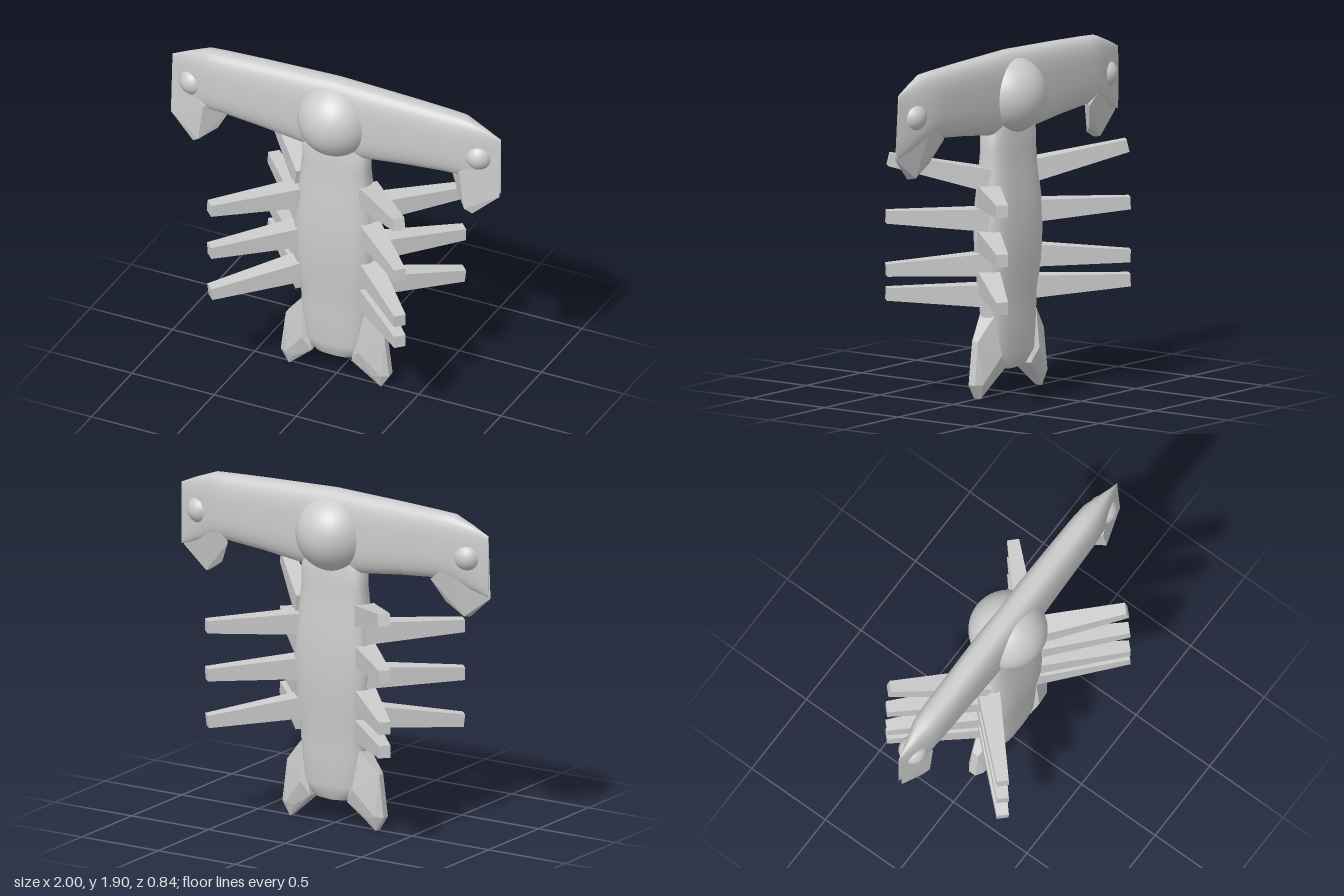
import * as THREE from 'three';
import { ConvexGeometry } from 'three/addons/geometries/ConvexGeometry.js';

const smooth = new THREE.MeshStandardMaterial({ color: 0xcccccc });
const faceted = new THREE.MeshStandardMaterial({ color: 0xcccccc, flatShading: true });

function add(parent, name, geometry, material) {
  const mesh = new THREE.Mesh(geometry, material);
  mesh.name = name;
  parent.add(mesh);
  return mesh;
}

// Loft of rounded-box sections; place(t, u, v) puts the axis and section coordinates in space.
// Each section is [t, centre u, half u, half v].
function loft(sections, place, power = 2.8, sides = 32) {
  const positions = [], index = [];
  const round = (c) => Math.sign(c) * Math.abs(c) ** (2 / power);
  for (const [t, cu, hu, hv] of sections) {
    for (let j = 0; j < sides; j++) {
      const a = (j / sides) * Math.PI * 2;
      positions.push(...place(t, cu + hu * round(Math.cos(a)), hv * round(Math.sin(a))));
    }
  }
  const last = sections.length - 1;
  const start = sections.length * sides, end = start + 1;
  for (const k of [0, last]) positions.push(...place(sections[k][0], sections[k][1], 0));
  for (let j = 0; j < sides; j++) {
    const n = (j + 1) % sides;
    for (let i = 0; i < last; i++) {
      const a = i * sides + j, b = i * sides + n;
      index.push(a, b, a + sides, b, b + sides, a + sides);
    }
    index.push(start, n, j, end, last * sides + j, last * sides + n);
  }
  const geometry = new THREE.BufferGeometry();
  geometry.setAttribute('position', new THREE.Float32BufferAttribute(positions, 3));
  geometry.setIndex(index);
  geometry.computeVertexNormals();
  return geometry;
}

// Convex block from corner points, side = 1 or -1 mirrors it in x
const hull = (points, side) =>
  new ConvexGeometry(points.map(([x, y, z]) => new THREE.Vector3(x * side, y, z)));

// Box along +x that narrows to its tip
function legGeometry(length) {
  const geometry = new THREE.BoxGeometry(length, 0.125, 0.125).translate(length / 2, 0, 0);
  const p = geometry.attributes.position;
  for (let i = 0; i < p.count; i++) {
    if (p.getX(i) > 0.01) p.setXYZ(i, p.getX(i), p.getY(i) * 0.56, p.getZ(i) * 0.53);
  }
  geometry.computeVertexNormals();
  return geometry;
}

export function createModel() {
  const model = new THREE.Group();
  model.name = 'hammerheadCreature';

  // Flat upright body: [y, half depth, half width]
  const bodySections = [
    [0.135, 0.03, 0.03], [0.15, 0.06, 0.12], [0.23, 0.085, 0.19], [0.42, 0.09, 0.2],
    [0.56, 0.094, 0.207], [0.72, 0.113, 0.232], [0.9, 0.117, 0.242], [1.08, 0.113, 0.232],
    [1.24, 0.096, 0.212], [1.36, 0.09, 0.2], [1.6, 0.085, 0.2],
  ].map(([y, depth, width]) => [y, 0, depth, width]);
  add(model, 'body', loft(bodySections, (y, z, x) => [x, y, z]), smooth);

  // Wide hammer head: [x, top, bottom, half depth]
  const half = [
    [0, 1.9, 1.43, 0.09], [0.2, 1.893, 1.45, 0.09], [0.45, 1.885, 1.48, 0.085],
    [0.68, 1.875, 1.5, 0.08], [0.78, 1.87, 1.5, 0.072], [0.9, 1.825, 1.46, 0.037],
    [1, 1.78, 1.43, 0.003],
  ];
  const headSections = [...half.slice(1).reverse().map(([x, ...rest]) => [-x, ...rest]), ...half]
    .map(([x, top, bottom, depth]) => [x, (top + bottom) / 2, (top - bottom) / 2, depth]);
  add(model, 'head', loft(headSections, (x, y, z) => [x, y, z]), smooth);

  // Large central eye and a small one at each end of the head
  add(model, 'centralEye', new THREE.SphereGeometry(0.217, 40, 28), smooth).position.y = 1.65;

  for (const side of [1, -1]) {
    const prefix = side > 0 ? 'left' : 'right';
    add(model, prefix + 'Eye', new THREE.SphereGeometry(0.08, 28, 20), smooth)
      .position.set(0.87 * side, 1.645, 0);

    // Hanging jaw below the end of the head
    add(model, prefix + 'Jaw', hull([
      [0.78, 1.54, 0.068], [0.81, 1.32, 0.07], [0.85, 1.29, 0.05], [0.84, 1.3, 0.0],
      [0.66, 1.5, -0.06], [0.73, 1.37, -0.01], [0.78, 1.6, -0.068],
      [1, 1.42, 0.02], [1, 1.78, 0],
    ], side), faceted);

    // Tail foot
    add(model, prefix + 'Foot', hull([
      [0.19, 0.45, 0.05], [0.19, 0.45, -0.05], [0.3, 0.32, 0.02], [0.3, 0.32, -0.02],
      [0.17, 0.23, 0.088], [0.17, 0.23, -0.088], [0.12, 0.15, 0.065], [0.12, 0.15, -0.065],
      [0.24, 0.07, 0.05], [0.24, 0.07, -0.05], [0.29, 0.085, 0.05], [0.29, 0.085, -0.05],
      [0.33, 0.08, 0.022], [0.33, 0.08, -0.022], [0.28, 0, 0.022], [0.28, 0, -0.022],
    ], side), faceted);
  }

  // Diagonal legs, [root height, tip height]: four on one diagonal, three on the other
  const diagonals = [
    [-Math.PI / 4, [[1.205, 1.33], [0.985, 1.012], [0.74, 0.718], [0.565, 0.585]]],
    [Math.PI / 4, [[1.115, 1.12], [0.865, 0.848], [0.645, 0.582]]],
  ];
  const reach = 0.56;
  const geometry = legGeometry(reach);
  const legs = new THREE.Group();
  legs.name = 'legs';
  for (const [yaw, heights] of diagonals) {
    for (const [root, tip] of heights) {
      for (const turn of [0, Math.PI]) {
        const leg = add(legs, 'leg', geometry, faceted);
        leg.position.set(turn ? -0.185 : 0.185, root, 0);
        leg.rotation.set(0, yaw + turn, Math.asin((tip - root) / reach), 'YXZ');
      }
    }
  }
  model.add(legs);
  return model;
}
